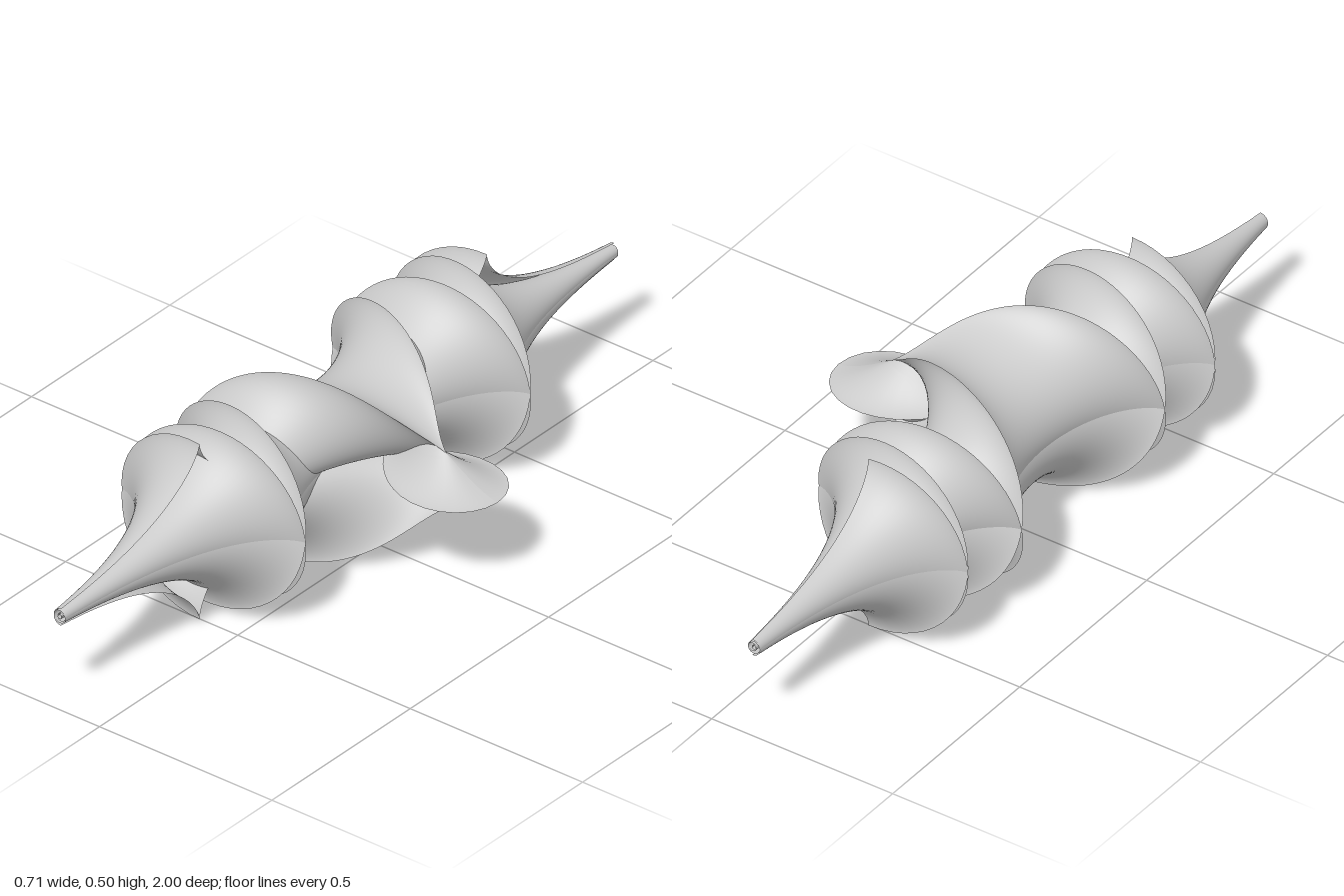
import * as THREE from 'three';

// Kuen's surface of constant negative curvature, its axis along z.
// It is cut along its cusp edges (cosh t = u) so that they stay crisp.
const U = 4 * Math.PI; // how far the sheet winds on each side
const T = 2 * Math.PI; // how far the horns reach
const SCALE = 1 / (T - 2 / (1 + (U / Math.cosh(T)) ** 2));

function kuen(u, t, sideY, sideZ) {
  const s = 1 / Math.cosh(t);
  const d = 1 + (u * s) ** 2;
  return [
    SCALE * 2 * s * (Math.cos(u) + u * Math.sin(u)) / d,
    SCALE * sideY * 2 * s * (Math.sin(u) - u * Math.cos(u)) / d,
    SCALE * sideZ * (t - 2 * Math.tanh(t) / d),
  ];
}

const cusp = (u) => Math.acosh(Math.max(1, u));

// Rows run along u, columns run from tStart(u) to tEnd(u).
function patch(us, columns, tStart, tEnd, sideY, sideZ) {
  const positions = [];
  const index = [];
  us.forEach((u, i) => {
    for (let j = 0; j <= columns; j++) {
      const t = THREE.MathUtils.lerp(tStart(u), tEnd(u), j / columns);
      positions.push(...kuen(u, t, sideY, sideZ));
      if (i === 0 || j === 0) continue;
      const d = i * (columns + 1) + j;
      const c = d - 1, b = d - columns - 1, a = b - 1;
      if (sideY * sideZ > 0) index.push(a, c, b, b, c, d);
      else index.push(a, b, c, b, d, c);
    }
  });
  const geometry = new THREE.BufferGeometry();
  geometry.setAttribute('position', new THREE.Float32BufferAttribute(positions, 3));
  geometry.setIndex(index);
  geometry.computeVertexNormals();
  return geometry;
}

export function createModel() {
  const group = new THREE.Group();
  group.name = 'kuenSurface';
  const material = new THREE.MeshStandardMaterial({ color: 0xcccccc, side: THREE.DoubleSide });

  const add = (name, geometry) => {
    const mesh = new THREE.Mesh(geometry, material);
    mesh.name = name;
    group.add(mesh);
  };

  // Finer steps just after u = 1, where the cusp edges begin
  const inner = Array.from({ length: 24 }, (_, i) => i / 24);
  const outer = Array.from({ length: 121 }, (_, i) => 1 + (U - 1) * (i / 120) ** 1.4);

  for (const sideY of [1, -1]) {
    // Spiral sheet between the two cusp edges
    add('spiralCore', patch(outer, 56, (u) => -cusp(u), cusp, sideY, 1));
    // Flared sheets from the cusp edges out to the tips, with the middle fin
    for (const sideZ of [1, -1]) {
      add('hornSheet', patch([...inner, ...outer], 40, cusp, () => T, sideY, sideZ));
    }
  }

  // Centre the surface and stand it on the ground
  const box = new THREE.Box3().setFromObject(group);
  group.children.forEach((mesh) => {
    mesh.position.set(-(box.min.x + box.max.x) / 2, -box.min.y, 0);
  });
  return group;
}
